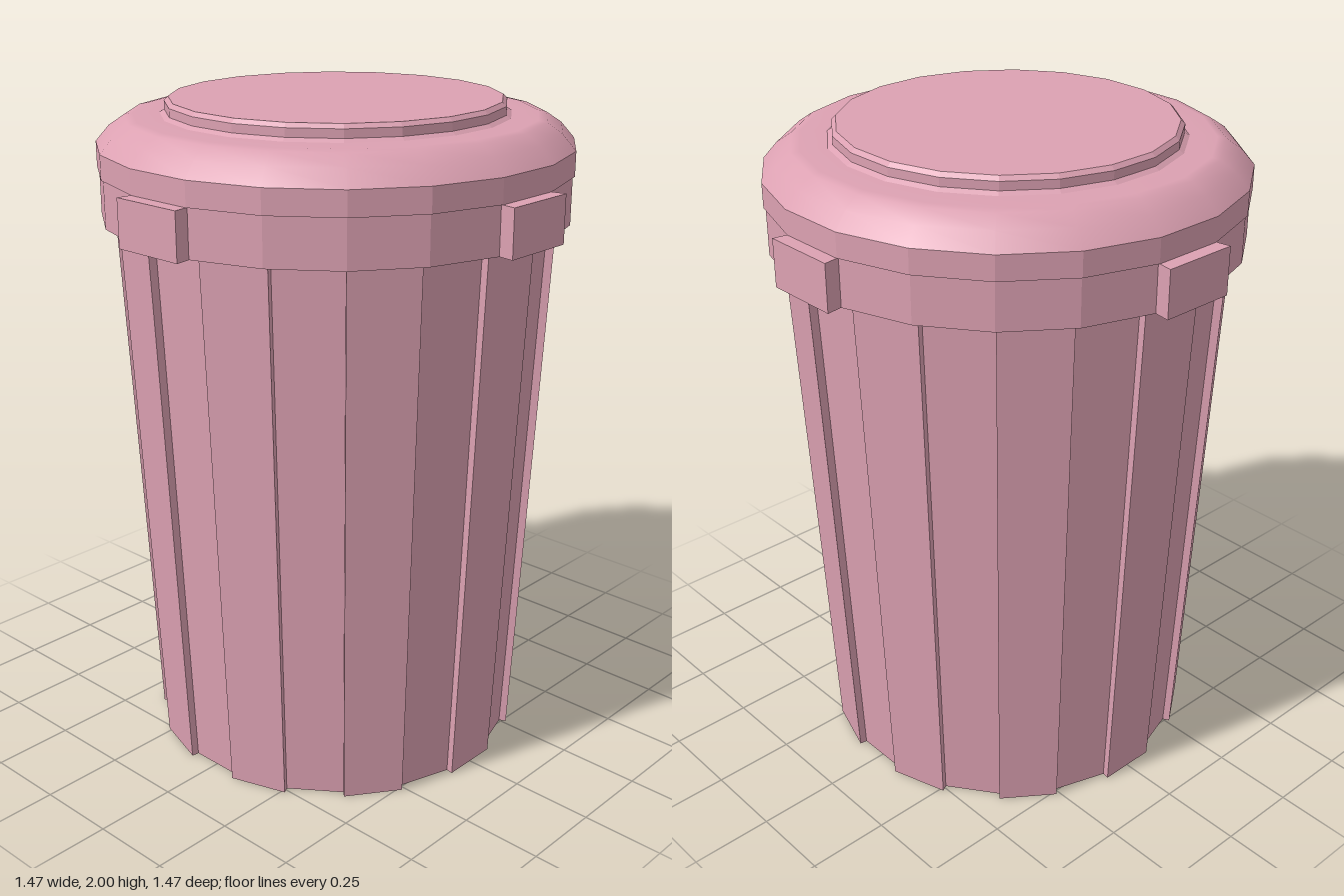
import * as THREE from 'three';

const SIDES = 20;
const STEP = (Math.PI * 2) / SIDES;
const flat = new THREE.MeshStandardMaterial({ color: 0xdca1b2, flatShading: true });
const smooth = new THREE.MeshStandardMaterial({ color: 0xdca1b2 });

// Point on a circle in plan, angle measured from the front
const polar = (r, a) => new THREE.Vector2(Math.sin(a) * r, Math.cos(a) * r);

// Plan outline raised to a given height, standing on y = 0
function prism(points, height) {
  const g = new THREE.ExtrudeGeometry(new THREE.Shape(points), { depth: height, bevelEnabled: false });
  return g.rotateX(-Math.PI / 2);
}

// Faceted ring profile with a flat side facing each axis
function lathe(profile) {
  const pts = profile.map(([r, y]) => new THREE.Vector2(r, y));
  return new THREE.LatheGeometry(pts, SIDES, STEP / 2);
}

export function createModel() {
  const model = new THREE.Group();
  const add = (name, geometry, material = flat) => {
    const mesh = new THREE.Mesh(geometry, material);
    mesh.name = name;
    model.add(mesh);
    return mesh;
  };

  // Tapered body: alternate staves are raised and recessed
  const outline = [];
  for (let k = 0; k < SIDES; k++) {
    const r = k % 2 === 0 ? 0.575 : 0.553;
    outline.push(polar(r, (k - 0.5) * STEP), polar(r, (k + 0.5) * STEP));
  }
  const height = 1.68;
  const body = prism(outline, height);
  const p = body.attributes.position;
  for (let i = 0; i < p.count; i++) {
    const s = 1 + 0.14 * (p.getY(i) / height);
    p.setXYZ(i, p.getX(i) * s, p.getY(i), p.getZ(i) * s);
  }
  body.computeVertexNormals();
  add('body', body);

  // Band around the top of the body
  add('rimBand', lathe([[0, 1.66], [0.694, 1.66], [0.694, 1.8], [0, 1.8]]));

  // Four clips, flaring out radially from the band
  const clip = [polar(0.66, -STEP / 2), polar(0.743, -STEP / 2), polar(0.743, STEP / 2), polar(0.66, STEP / 2)];
  for (let i = 0; i < 4; i++) {
    const mesh = add('clip', prism(clip, 0.14));
    mesh.position.y = 1.66;
    mesh.rotation.y = (i * Math.PI) / 2;
  }

  // Lid: faceted skirt, smooth shoulder, raised disc
  add('lidSkirt', lathe([[0, 1.8], [0.7, 1.8], [0.7, 1.872]]));
  add('lidShoulder', lathe([[0.7, 1.872], [0.66, 1.918], [0.615, 1.948], [0.59, 1.953], [0.5, 1.954]]), smooth);
  add('lidDisc', lathe([[0.512, 1.954], [0.498, 1.963], [0.498, 1.988], [0.486, 2], [0, 2]]));

  return model;
}
